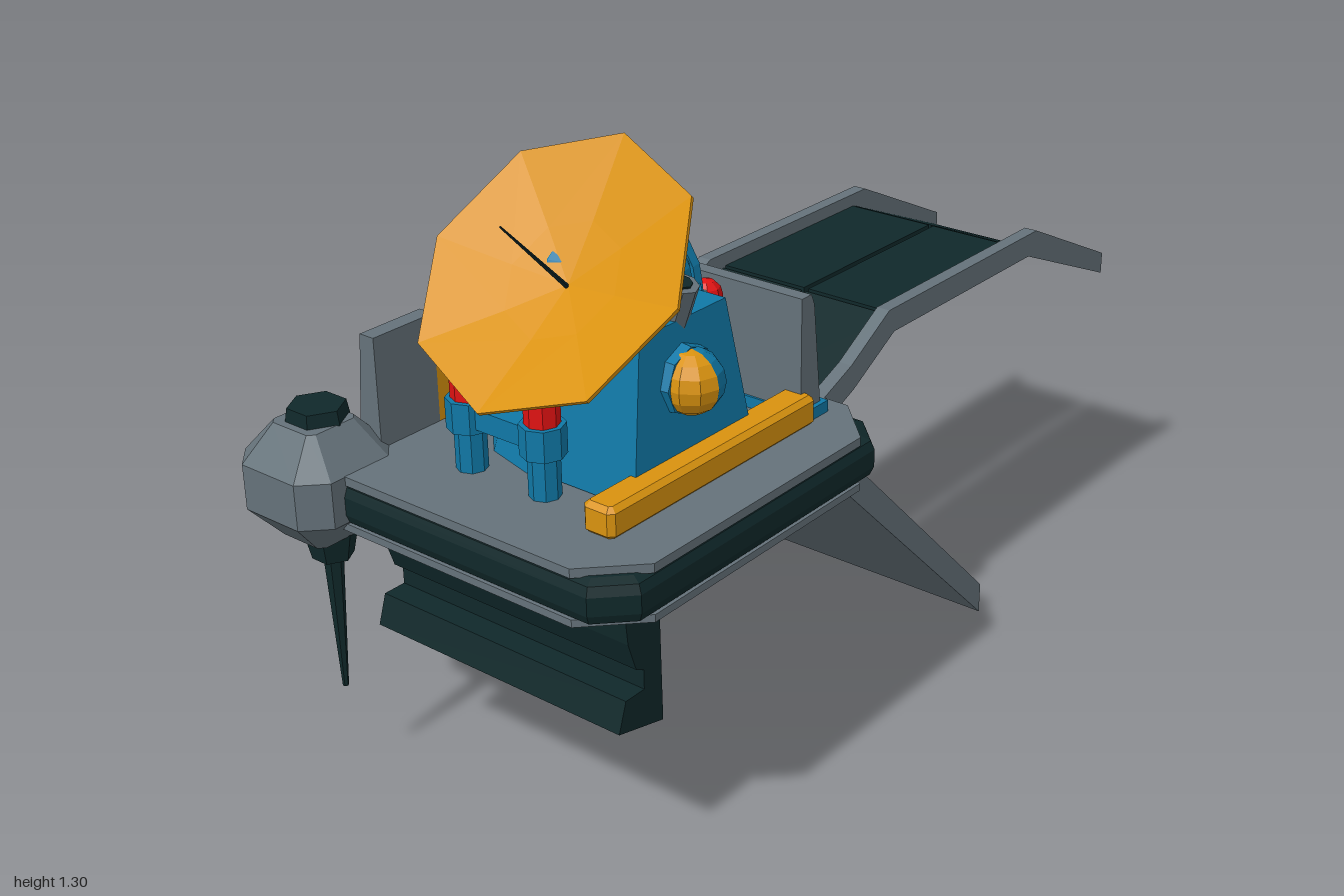
import * as THREE from 'three';

const mat = (color) => new THREE.MeshStandardMaterial({ color, flatShading: true, side: THREE.DoubleSide });
const grey = mat(0x65727a), blue = mat(0x1078a6), orange = mat(0xd9920f), dark = mat(0x10282a), red = mat(0xe01212);

export function createModel() {
  const root = new THREE.Group();

  const add = (name, geometry, material, x = 0, y = 0, z = 0) => {
    const mesh = new THREE.Mesh(geometry, material);
    mesh.name = name;
    mesh.position.set(x, y, z);
    root.add(mesh);
    return mesh;
  };
  const shapeOf = (pts) => new THREE.Shape(pts.map(([a, b]) => new THREE.Vector2(a, b)));
  // side profile in x/y, swept from z0 to z1
  const sweep = (name, pts, z0, z1, material) => add(name,
    new THREE.ExtrudeGeometry(shapeOf(pts), { depth: z1 - z0, bevelEnabled: false }), material, 0, 0, z0);
  // box given by its limits
  const block = (name, [x0, x1], [y0, y1], [z0, z1], material) => add(name,
    new THREE.BoxGeometry(x1 - x0, y1 - y0, z1 - z0), material, (x0 + x1) / 2, (y0 + y1) / 2, (z0 + z1) / 2);
  // cylinder between two points
  const rod = (name, a, b, r0, r1, sides, material, open = false) => {
    const from = new THREE.Vector3(...a), to = new THREE.Vector3(...b), dir = to.clone().sub(from);
    const mesh = add(name, new THREE.CylinderGeometry(r1, r0, dir.length(), sides, 1, open), material);
    mesh.position.copy(from).add(to).multiplyScalar(0.5);
    mesh.quaternion.setFromUnitVectors(new THREE.Vector3(0, 1, 0), dir.normalize());
    return mesh;
  };
  // horizontal slab with cut corners and an optional bevel
  const slab = (name, cx, cz, w, d, cut, y0, y1, material, bevel = 0, bevelHeight = 0) => {
    const a = w / 2 - bevel, b = d / 2 - bevel;
    const geo = new THREE.ExtrudeGeometry(shapeOf([
      [a, -b + cut], [a, b - cut], [a - cut, b], [-a + cut, b],
      [-a, b - cut], [-a, -b + cut], [-a + cut, -b], [a - cut, -b],
    ]), {
      depth: y1 - y0 - 2 * bevelHeight, bevelEnabled: bevel > 0,
      bevelSize: bevel, bevelThickness: bevelHeight, bevelSegments: cut > 0.03 ? 2 : 1,
    });
    geo.rotateX(-Math.PI / 2);
    return add(name, geo, material, cx, y0 + bevelHeight, cz);
  };

  // platform: two plates around a bulging tyre-like band
  const cx = -0.52, cz = 0.035;
  slab('lowerPlate', cx, cz, 0.8, 0.8, 0.1, 0.595, 0.61, grey);
  slab('hullBand', cx, cz, 0.81, 0.81, 0.05, 0.607, 0.693, dark, 0.025, 0.025);
  slab('upperPlate', cx, cz, 0.8, 0.8, 0.1, 0.69, 0.708, grey);
  block('underside', [-0.74, -0.24], [0.58, 0.598], [-0.25, 0.33], dark);

  // boarding ramp and rear hatch
  sweep('ramp', [[-0.21, 0.6], [0.2, 0.2], [0.405, 0], [0.405, 0.07], [-0.13, 0.6]], -0.265, 0.345, grey);
  sweep('rearHatch', [[-0.8, 0.6], [-0.79, 0.5], [-0.77, 0.44], [-0.75, 0.43], [-0.75, 0.39],
    [-0.8, 0.39], [-0.82, 0.33], [-0.7, 0.3], [-0.705, 0.6]], -0.265, 0.345, dark);

  // solar bridge: rails and two rows of panels
  const rail = [[-0.13, 0.645], [-0.02, 0.69], [0.12, 0.768], [0.65, 0.768], [1, 0.62], [1, 0.67],
    [0.68, 0.82], [0.1, 0.82], [-0.03, 0.745], [-0.13, 0.705]];
  const halfBridge = 0.245;
  for (const side of [-1, 1]) {
    const z = cz + side * (halfBridge - 0.015);
    sweep('bridgeRail', rail, z - 0.015, z + 0.015, grey);
    const inner = cz + side * 0.006, outer = cz + side * 0.22;
    const [z0, z1] = side > 0 ? [inner, outer] : [outer, inner];
    for (const [xa, ya, xb, yb] of [[-0.14, 0.645, 0.145, 0.782], [0.153, 0.785, 0.632, 0.785], [0.642, 0.782, 1, 0.632]]) {
      sweep('solarPanel', [[xa, ya - 0.01], [xb, yb - 0.01], [xb, yb + 0.006], [xa, ya + 0.006]], z0, z1, dark);
    }
  }

  // corner pod with cap and spike
  const px = -0.883, pz = -0.325;
  slab('pod', px, pz, 0.234, 0.234, 0.012, 0.545, 0.777, grey, 0.06, 0.07);
  rod('podCap', [-0.873, 0.775, pz], [-0.873, 0.803, pz], 0.06, 0.055, 6, dark);
  rod('spikeMount', [-0.873, 0.55, -0.317], [-0.873, 0.49, -0.317], 0.053, 0.04, 6, dark);
  rod('spike', [-0.873, 0.5, -0.317], [-0.873, 0.2, -0.317], 0.02, 0.006, 6, dark);

  // walls around the deck
  sweep('sideWall', [[-0.24, 0.705], [-0.175, 0.705], [-0.2, 0.94], [-0.21, 0.962], [-0.24, 0.962]], -0.237, 0.31, grey);
  block('sideWallTrim', [-0.245, -0.165], [0.705, 0.732], [-0.245, 0.32], blue);
  const backWall = (name, x0, x1, top, material, grow) => {
    const geo = new THREE.ExtrudeGeometry(shapeOf([[-0.24, 0.705], [-0.24, top], [-0.275 - grow, top], [-0.297 - grow, 0.705]]),
      { depth: x1 - x0, bevelEnabled: false });
    geo.rotateY(Math.PI / 2);
    // shape axis is mirrored by the turn, so flip z back
    geo.scale(1, 1, -1);
    const index = [...Array(geo.attributes.position.count).keys()];
    for (let i = 0; i < index.length; i += 3) [index[i], index[i + 1]] = [index[i + 1], index[i]];
    geo.setIndex(index);
    add(name, geo, material, x0, 0, 0);
  };
  backWall('backWallRight', -0.8, -0.65, 0.93, grey, 0);
  backWall('backWallPanel', -0.65, -0.39, 0.9, orange, 0.003);
  backWall('backWallLeft', -0.39, -0.19, 0.96, grey, 0);
  slab('frontLedge', -0.515, 0.298, 0.59, 0.07, 0.005, 0.705, 0.768, orange, 0.01, 0.01);

  // turret body
  const tx = -0.49, tz = 0.04;
  const drum = (name, r0, r1, y0, y1, material) => rod(name, [tx, y0, tz], [tx, y1, tz], r0, r1, 12, material);
  drum('turretFoot', 0.22, 0.2, 0.705, 0.77, blue);
  drum('turretBody', 0.18, 0.165, 0.76, 0.92, blue);
  drum('turretBelt', 0.2, 0.205, 0.905, 0.962, grey);
  drum('turretCollar', 0.2, 0.185, 0.96, 1.005, blue);

  // front housing tapering upward
  const house = new THREE.BoxGeometry(0.34, 0.3, 0.22);
  const p = house.attributes.position;
  for (let i = 0; i < p.count; i++) if (p.getY(i) > 0) {
    p.setX(i, p.getX(i) * 0.7);
    if (p.getZ(i) > 0) p.setZ(i, 0.085);
  }
  add('frontHousing', house, blue, -0.53, 0.86, 0.18);
  rod('sensorMount', [-0.54, 0.9, 0.25], [-0.54, 0.9, 0.29], 0.07, 0.065, 8, blue);
  add('sensorBlueHalf', new THREE.SphereGeometry(0.062, 5, 8, Math.PI / 2, Math.PI), blue, -0.54, 0.9, 0.29);
  add('sensorOrangeHalf', new THREE.SphereGeometry(0.062, 5, 8, -Math.PI / 2, Math.PI), orange, -0.54, 0.9, 0.29);
  rod('vent', [-0.53, 0.99, 0.235], [-0.53, 1.075, 0.262], 0.03, 0.033, 8, grey);
  rod('ventHole', [-0.53, 1.07, 0.26], [-0.53, 1.079, 0.263], 0.02, 0.02, 8, dark);

  // dome with a window wedge framed by arches
  add('dome', new THREE.SphereGeometry(0.172, 12, 5, 0, Math.PI * 2, 0, Math.PI / 2), blue, tx, 0.995, tz);
  add('domeWindow', new THREE.SphereGeometry(0.176, 5, 5, Math.PI - 0.8, 1.6, 0, Math.PI / 2), grey, tx, 0.995, tz);
  for (const turn of [-0.85, 0.85]) {
    const arch = add('domeArch', new THREE.TorusGeometry(0.172, 0.013, 4, 6, Math.PI / 2), blue, tx, 0.995, tz);
    arch.rotation.y = turn;
  }

  // telescope
  rod('telescope', [-0.475, 1.03, -0.02], [-0.408, 1.165, -0.145], 0.038, 0.048, 8, orange);
  rod('telescopeHole', [-0.412, 1.157, -0.138], [-0.406, 1.169, -0.149], 0.032, 0.032, 8, dark);

  // octagonal dish with antenna needle
  const dish = add('dish', new THREE.LatheGeometry(
    [[0.001, -0.055], [0.12, -0.035], [0.28, 0], [0.28, -0.008], [0.12, -0.045], [0.001, -0.066]]
      .map(([r, h]) => new THREE.Vector2(r, h)), 8), orange, -0.68, 1.105, 0.097);
  dish.rotation.z = Math.PI / 4;
  rod('needle', [-0.645, 1.065, 0.097], [-0.8, 1.22, 0.097], 0.005, 0.002, 5, dark);
  rod('dishMount', [-0.54, 0.98, 0.07], [-0.64, 1.065, 0.097], 0.05, 0.035, 8, blue);

  // power cells on both sides with clamps
  for (const side of [-1, 1]) {
    const x = -0.522 + side * 0.228;
    for (const z of [-0.055, 0.125]) {
      add('powerCell', new THREE.CapsuleGeometry(0.033, 0.13, 3, 8), red, x, 0.878, z);
      rod('cellClamp', [x, 0.79, z], [x, 0.85, z], 0.043, 0.043, 8, blue);
      rod('cellFoot', [x, 0.705, z], [x, 0.79, z], 0.03, 0.03, 8, blue);
    }
    block('clampBar', [x - 0.02, x + 0.02], [0.8, 0.84], [-0.055, 0.125], blue);
    block('clampArm', side > 0 ? [tx, x] : [x, tx], [0.8, 0.84], [0.01, 0.06], blue);
  }
  return root;
}
